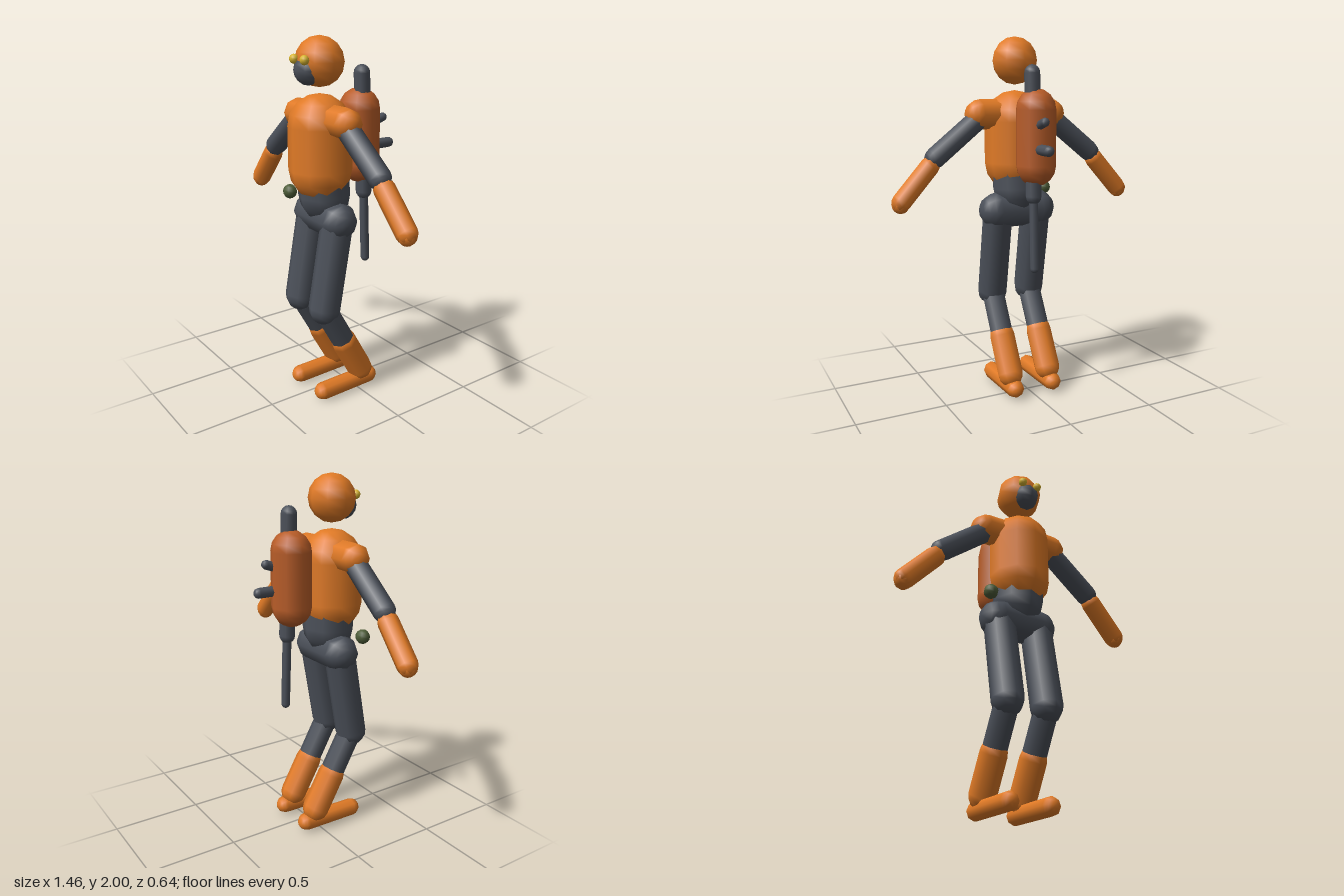
import * as THREE from 'three';

const paint = (name, color) => {
  const m = new THREE.MeshStandardMaterial({ color });
  m.name = name;
  return m;
};

export function createModel() {
  const model = new THREE.Group();
  model.name = 'armouredFigure';
  const orange = paint('orange armour', 0xe07a26);
  const rust = paint('rust pack', 0xb95d28);
  const dark = paint('dark grey', 0x4b5059);
  const yellow = paint('yellow lens', 0xd8b530);
  const green = paint('olive green', 0x4d5c38);

  // Capsule whose cap centres sit at points a and b
  function capsule(name, a, b, r, mat, sides = 8, spin = 0) {
    const p = new THREE.Vector3(...a), q = new THREE.Vector3(...b);
    const dir = q.clone().sub(p);
    const geo = new THREE.CapsuleGeometry(r, dir.length(), 4, sides).rotateY(spin);
    const mesh = new THREE.Mesh(geo, mat);
    mesh.name = name;
    mesh.position.copy(p).add(q).multiplyScalar(0.5);
    mesh.quaternion.setFromUnitVectors(new THREE.Vector3(0, 1, 0), dir.normalize());
    model.add(mesh);
  }

  function ball(name, pos, r, mat, w = 8, h = 8) {
    const mesh = new THREE.Mesh(new THREE.SphereGeometry(r, w, h), mat);
    mesh.name = name;
    mesh.position.set(...pos);
    model.add(mesh);
  }

  // Head and breathing mask
  ball('head', [0, 1.87, 0.155], 0.13, orange);
  ball('mask', [0, 1.83, 0.225], 0.077, dark);

  // Body
  capsule('torso', [0, 1.31, 0.157], [0, 1.54, 0.157], 0.17, orange, 10, Math.PI / 2);
  capsule('waist', [0, 1.165, 0.135], [0, 1.3, 0.14], 0.142, dark);
  capsule('pelvis', [-0.125, 1.045, 0.13], [0.125, 1.045, 0.13], 0.102, dark);

  // Eyes, arms and legs, mirrored
  for (const s of [-1, 1]) {
    const side = s > 0 ? 'left' : 'right';
    ball(side + 'Eye', [s * 0.048, 1.885, 0.278], 0.025, yellow);

    capsule(side + 'Shoulder', [s * 0.1, 1.58, 0.148], [s * 0.218, 1.58, 0.145], 0.082, orange);
    capsule(side + 'UpperArm', [s * 0.22, 1.56, 0.145], [s * 0.48, 1.355, 0.14], 0.06, dark);
    capsule(side + 'Forearm', [s * 0.515, 1.308, 0.138], [s * 0.675, 1.13, 0.132], 0.056, orange);
    ball(side + 'Hand', [s * 0.68, 1.118, 0.132], 0.05, orange);

    const x = s * 0.118;
    capsule(side + 'Thigh', [x, 1.03, 0.135], [x, 0.56, 0.22], 0.088, dark);
    capsule(side + 'Shin', [x, 0.55, 0.215], [x, 0.33, 0.092], 0.067, dark);
    capsule(side + 'Boot', [x, 0.315, 0.085], [x, 0.125, -0.022], 0.075, orange);
    capsule(side + 'Foot', [x, 0.057, -0.085], [x, 0.052, 0.232], 0.05, orange);
  }

  // Backpack
  capsule('backpack', [0, 1.315, -0.102], [0, 1.61, -0.102], 0.112, rust);

  // Long tool carried through the pack: body, barrel, grips
  const tx = 0.022;
  capsule('toolBody', [tx, 1.8, -0.1], [tx, 1.15, -0.118], 0.044, dark);
  capsule('toolBarrel', [tx, 1.15, -0.118], [tx, 0.755, -0.132], 0.025, dark);
  capsule('toolLowerGrip', [tx, 1.405, -0.14], [tx, 1.405, -0.288], 0.029, dark);
  capsule('toolUpperGrip', [tx, 1.515, -0.14], [tx, 1.55, -0.243], 0.025, dark);

  // Hip canister
  ball('hipCanister', [-0.217, 1.147, 0.215], 0.04, green);

  return model;
}
